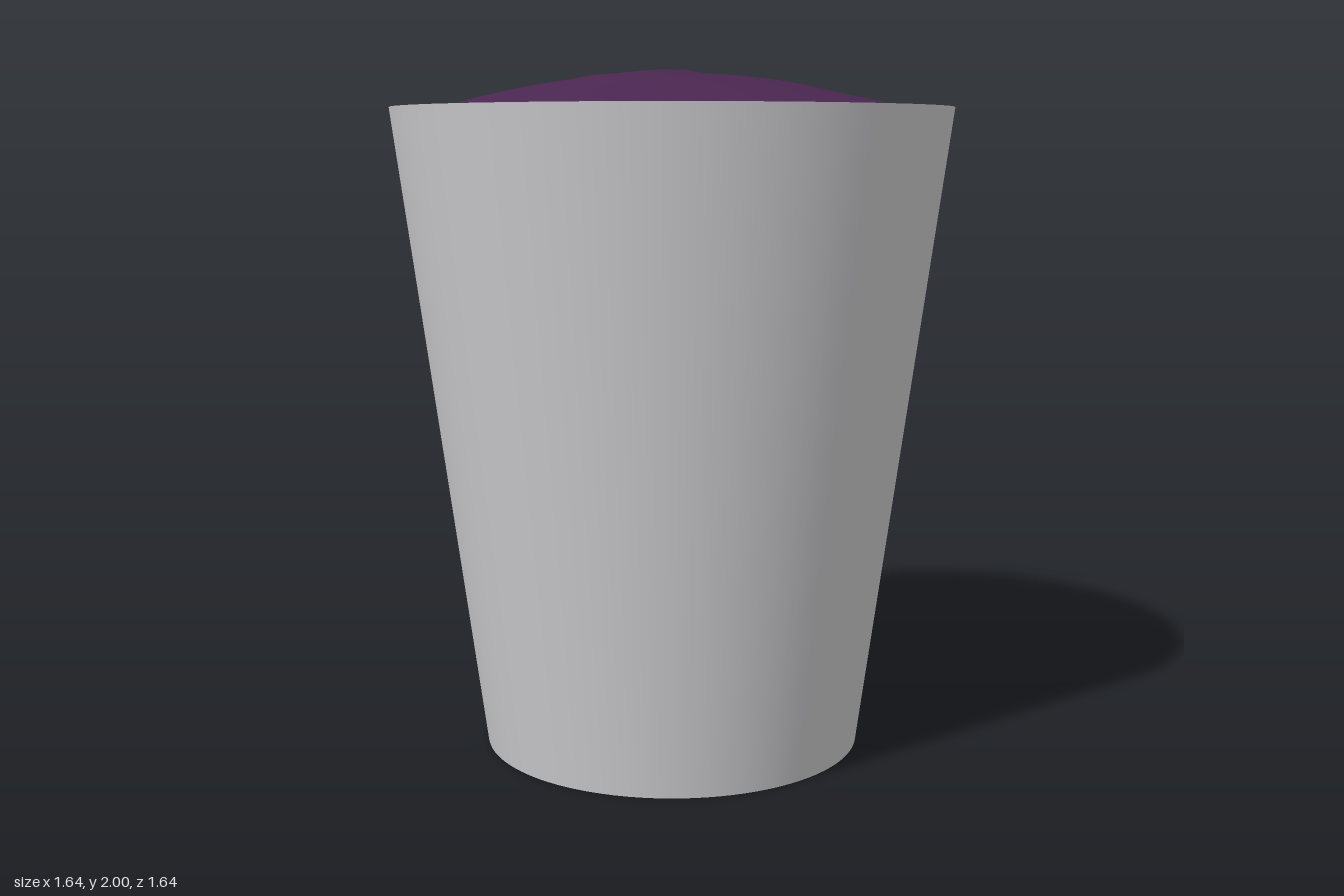
import * as THREE from 'three';

const SEGMENTS = 96;

// Lathe a single straight section so that edges between sections stay sharp
function ring(name, material, r0, y0, r1, y1) {
  const points = [new THREE.Vector2(r0, y0), new THREE.Vector2(r1, y1)];
  const mesh = new THREE.Mesh(new THREE.LatheGeometry(points, SEGMENTS), material);
  mesh.name = name;
  return mesh;
}

// Curved ridges (positive) and grooves (negative): angle at the hub, height
const SWIRLS = [
  { angle: -1.2, height: -0.014 },
  { angle: 0.98, height: 0.016 },
  { angle: 2.8, height: 0.012 },
];

function surfaceHeight(r, angle) {
  let y = 2 - 0.223 * r * r;
  const fade = Math.pow(Math.sin(Math.PI * Math.min(r / 0.65, 1)), 2);
  for (const s of SWIRLS) {
    const d = angle - s.angle - 2.6 * r;
    const wrapped = Math.atan2(Math.sin(d), Math.cos(d));
    y += s.height * fade * Math.exp(-Math.pow(wrapped / 0.33, 2));
  }
  return y;
}

// Domed disc with a gentle swirl, lifted vertex by vertex
function createFilling(material) {
  const geometry = new THREE.RingGeometry(0.0001, 0.795, SEGMENTS, 40);
  geometry.rotateX(-Math.PI / 2);
  const p = geometry.attributes.position;
  for (let i = 0; i < p.count; i++) {
    const x = p.getX(i), z = p.getZ(i);
    p.setY(i, surfaceHeight(Math.hypot(x, z), Math.atan2(z, x)));
  }
  geometry.computeVertexNormals();
  const mesh = new THREE.Mesh(geometry, material);
  mesh.name = 'filling';
  return mesh;
}

export function createModel() {
  const grey = new THREE.MeshStandardMaterial({ color: 0xcccccf });
  grey.name = 'cup grey';
  const purple = new THREE.MeshStandardMaterial({ color: 0x4a2650 });
  purple.name = 'filling purple';

  // Tapered cup, from the underside up over the rim and down inside
  const cup = new THREE.Group();
  cup.name = 'cup';
  cup.add(
    ring('underside', grey, 0, 0, 0.565, 0),
    ring('outerWall', grey, 0.565, 0, 0.82, 1.9),
    ring('rim', grey, 0.82, 1.9, 0.8, 1.9),
    ring('innerWall', grey, 0.8, 1.9, 0.55, 0.03),
    ring('innerFloor', grey, 0.55, 0.03, 0, 0.03),
  );

  const model = new THREE.Group();
  model.name = 'filledCup';
  model.add(cup, createFilling(purple));
  return model;
}
